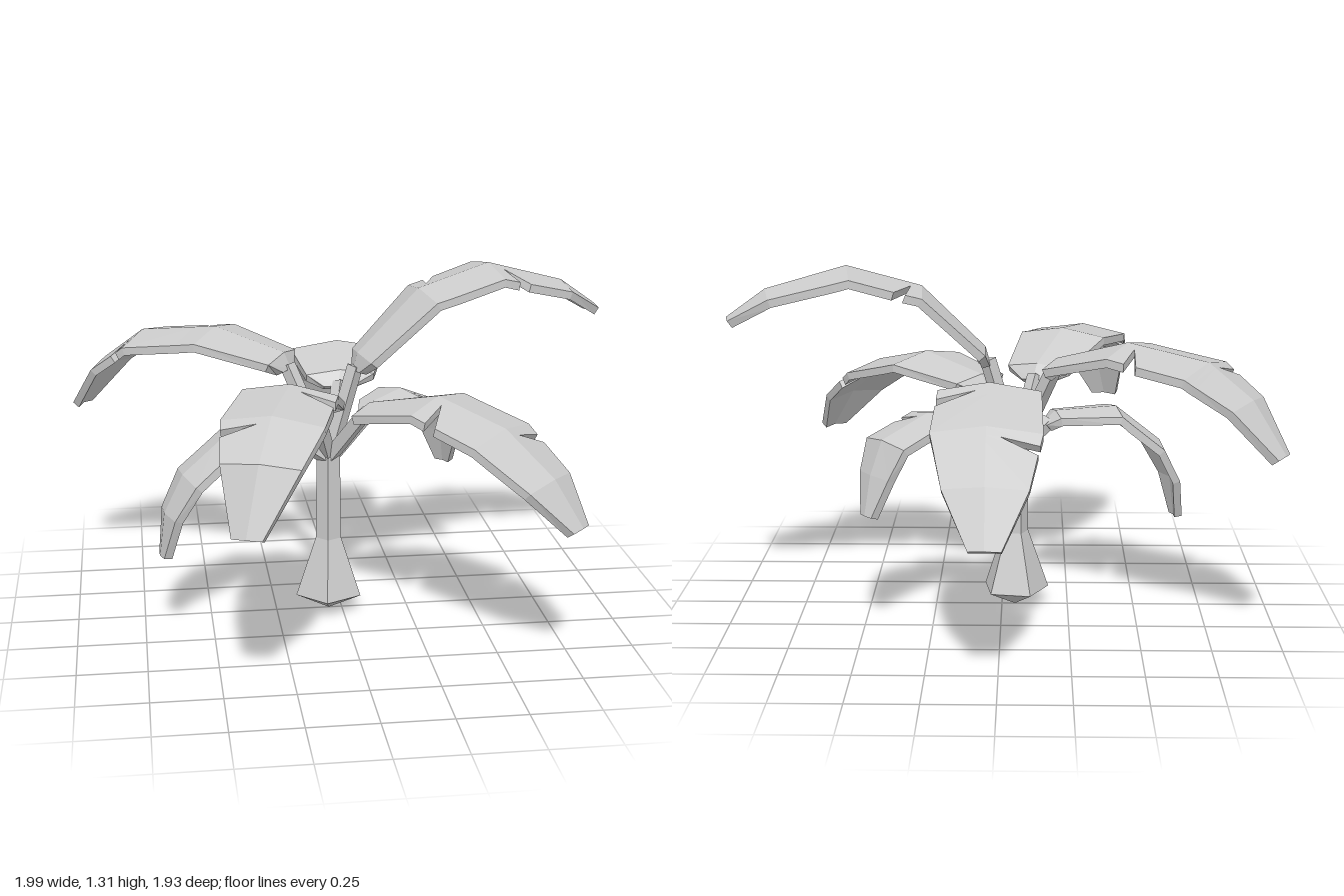
import * as THREE from 'three';

const material = new THREE.MeshStandardMaterial({ color: 0xcccccc, flatShading: true, side: THREE.DoubleSide });
const CENTER_X = -0.05;
const CROWN = new THREE.Vector3(CENTER_X, 0.6, 0);
const THICKNESS = 0.03;

// Half width along every leaf, as a share of its widest point
const TAPER = [0.28, 0.68, 0.95, 1, 0.76, 0.29];
// Stations of the inner and outer slit, and half the slit's length on the midrib
const EARLY = 2.15, LATE = 3.15, GAP = 0.12;

// Linear lookup of the midrib and its half width at station k
function sample({ rib, size }, k) {
  const i = Math.min(Math.max(Math.floor(k), 0), rib.length - 2);
  const t = Math.min(Math.max(k - i, 0), 1);
  return { p: rib[i].clone().lerp(rib[i + 1], t), w: size * THREE.MathUtils.lerp(TAPER[i], TAPER[i + 1], t) };
}

// Edge position along the leaf and its width factor, cut back at a slit
function edge(k, slit) {
  const d = slit === null ? 9 : k - slit;
  if (Math.abs(d) < 0.01) return [k, 0.25];
  if (Math.abs(d + GAP) < 0.01) return [slit + 0.08, 1];
  if (Math.abs(d - GAP) < 0.01) return [slit + 0.24, 1];
  return [k, 1];
}

// Leaf blade: ridged cross-sections swept along the midrib
function bladeGeometry(leaf) {
  const { rib, early, late } = leaf;
  const dir = rib[rib.length - 1].clone().sub(rib[0]).setY(0).normalize();
  const side = new THREE.Vector3(-dir.z, 0, dir.x);
  const slitOn = (s) => (s === early ? EARLY : late ? LATE : null);
  const stations = rib.map((_, i) => i);
  for (const n of late ? [EARLY, LATE] : [EARLY]) stations.push(n - GAP, n, n + GAP);
  stations.sort((a, b) => a - b);

  // Offset from the midrib: across by s half widths, edges drooping below the ridge
  const place = (k, s, factor, depth) => {
    const { p, w } = sample(leaf, k);
    const tangent = sample(leaf, k + 0.4).p.sub(sample(leaf, k - 0.4).p).normalize();
    const normal = new THREE.Vector3().crossVectors(side, tangent).normalize();
    const across = w * factor;
    return p.addScaledVector(side, s * across).addScaledVector(normal, -0.17 * Math.abs(s) * across - depth);
  };
  const rows = stations.map((k) => {
    const [kl, fl] = edge(k, slitOn(-1));
    const [kr, fr] = edge(k, slitOn(1));
    const line = (depth) => [place(kl, -1, fl, depth), place(k, 0, 1, depth), place(kr, 1, fr, depth)];
    return [...line(0), ...line(THICKNESS).reverse()];
  });

  const out = [];
  const tri = (...v) => v.forEach((q) => out.push(q.x, q.y, q.z));
  for (let i = 0; i < rows.length - 1; i++) {
    for (let j = 0; j < 6; j++) {
      const n = (j + 1) % 6;
      const a = rows[i][j], b = rows[i][n], c = rows[i + 1][n], d = rows[i + 1][j];
      if (j === 0 || j === 3) { tri(a, b, d); tri(b, c, d); } else { tri(a, b, c); tri(a, c, d); }
    }
  }
  // Closed base and tip
  const cap = (r) => { tri(r[0], r[1], r[4]); tri(r[0], r[4], r[5]); tri(r[1], r[2], r[3]); tri(r[1], r[3], r[4]); };
  const [l, m, r, rb, mb, lb] = rows[0];
  cap([r, m, l, lb, mb, rb]);
  cap(rows[rows.length - 1]);

  const g = new THREE.BufferGeometry();
  g.setAttribute('position', new THREE.Float32BufferAttribute(out, 3));
  g.computeVertexNormals();
  return g;
}

// Four-sided tapered stalk between two points
function makeStalk(from, to) {
  const mesh = new THREE.Mesh(new THREE.CylinderGeometry(0.03, 0.032, from.distanceTo(to), 4), material);
  mesh.name = 'stalk';
  mesh.position.copy(from).lerp(to, 0.5);
  mesh.quaternion.setFromUnitVectors(new THREE.Vector3(0, 1, 0), to.clone().sub(from).normalize());
  return mesh;
}

// Leaf with its stalk; early is the side of the inner slit (-1 left, 1 right),
// late adds an outer slit on the other side, points run along the midrib to the tip
function makeLeaf(name, size, early, late, ...points) {
  const rib = points.map((p) => new THREE.Vector3(...p));
  const base = rib[0].clone().add(CROWN.clone().sub(rib[0]).setLength(0.065));
  const leaf = { rib: [base, ...rib], size, early, late };
  const group = new THREE.Group();
  group.name = name;
  const blade = new THREE.Mesh(bladeGeometry(leaf), material);
  blade.name = 'blade';
  const end = sample(leaf, 0.5).p;
  end.y -= THICKNESS * 0.6;
  group.add(blade, makeStalk(CROWN, end));
  return group;
}

export function createModel() {
  const model = new THREE.Group();
  model.name = 'broadLeafPlant';

  // Five-sided trunk with a flared foot and pointed underside
  const profile = [[0, 0], [0.128, 0.065], [0.05, 0.29], [0.046, 0.61], [0, 0.68]];
  const trunk = new THREE.Mesh(
    new THREE.LatheGeometry(profile.map(([r, y]) => new THREE.Vector2(r, y)), 5, Math.PI * 0.75), material);
  trunk.name = 'trunk';
  trunk.position.x = CENTER_X;
  model.add(trunk);

  // Five large leaves
  model.add(makeLeaf('backLeaf', 0.19, 1, true,
    [0.02, 0.89, -0.19], [0.035, 0.95, -0.42], [0.04, 0.86, -0.7], [0.04, 0.7, -0.88], [0.04, 0.51, -0.97]));
  model.add(makeLeaf('backRightLeaf', 0.19, 1, true,
    [-0.2, 0.98, -0.13], [-0.45, 1.06, -0.25], [-0.72, 1.02, -0.41], [-0.87, 0.9, -0.47], [-0.98, 0.72, -0.54]));
  model.add(makeLeaf('frontRightLeaf', 0.18, -1, true,
    [-0.13, 0.9, 0.18], [-0.23, 1.0, 0.4], [-0.32, 0.97, 0.68], [-0.38, 0.87, 0.88], [-0.43, 0.64, 0.95]));
  model.add(makeLeaf('frontLeftLeaf', 0.19, 1, true,
    [0.08, 0.86, 0.17], [0.3, 0.92, 0.33], [0.5, 0.85, 0.53], [0.64, 0.71, 0.68], [0.73, 0.55, 0.74]));
  model.add(makeLeaf('tallLeftLeaf', 0.18, -1, true,
    [0.06, 1.0, -0.01], [0.29, 1.23, -0.04], [0.56, 1.31, -0.09], [0.85, 1.23, -0.13], [0.99, 1.13, -0.15]));

  // Two small drooping leaves
  model.add(makeLeaf('smallRightLeaf', 0.125, -1, false,
    [-0.2, 0.74, 0.08], [-0.43, 0.75, 0.12], [-0.6, 0.61, 0.16], [-0.67, 0.47, 0.17], [-0.69, 0.31, 0.18]));
  model.add(makeLeaf('smallBackLeaf', 0.12, 1, false,
    [0.14, 0.78, -0.13], [0.26, 0.8, -0.23], [0.42, 0.72, -0.33], [0.46, 0.6, -0.36], [0.48, 0.46, -0.4]));
  return model;
}
